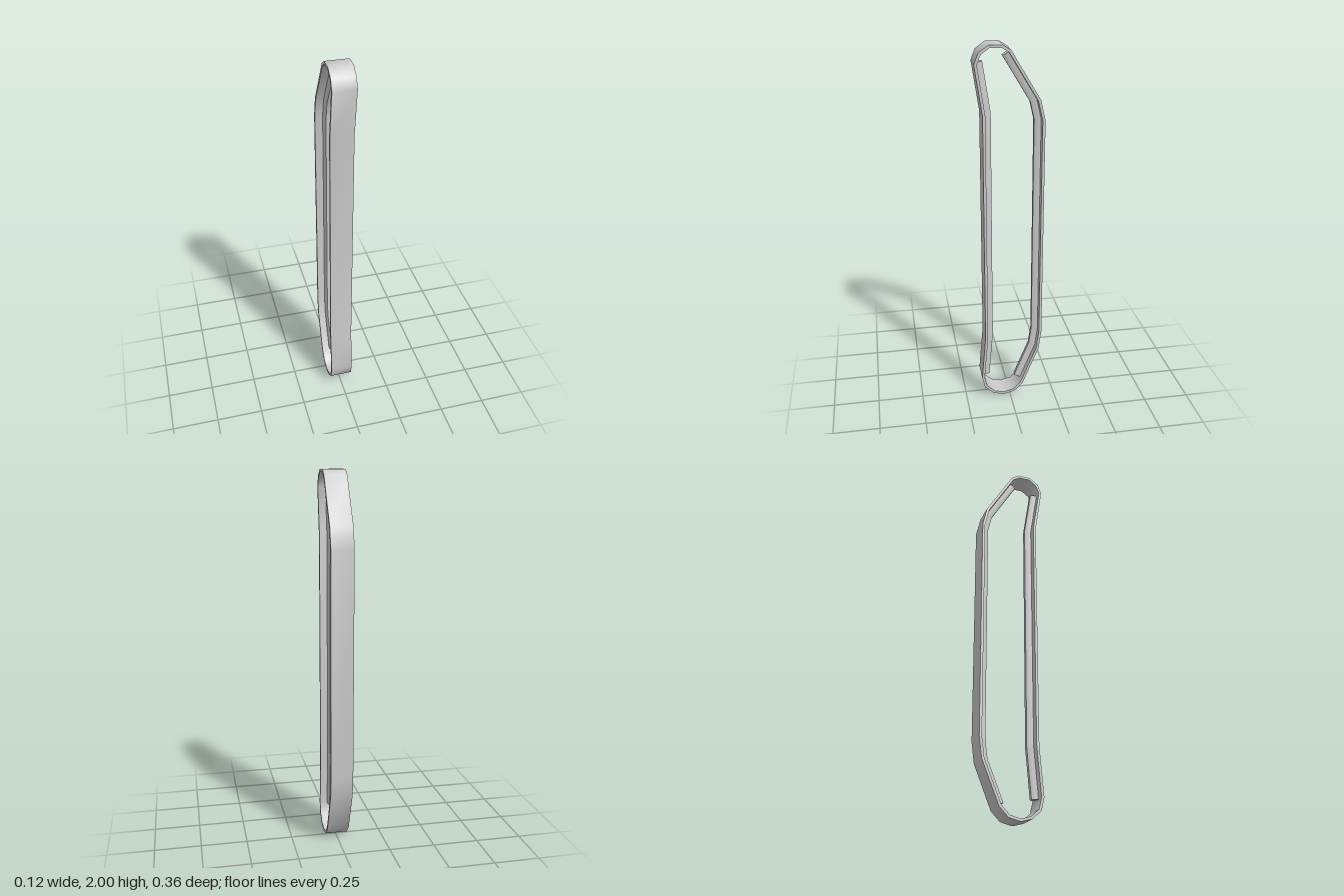
import * as THREE from 'three';
import { toCreasedNormals } from 'three/addons/utils/BufferGeometryUtils.js';

// Outer side profile as [z, y]: down the front, round the bottom, up the back, over the top
const PROFILE = [
  [0.177, 1.91], [0.138, 1.655], [0.138, 0.385], [0.16, 0.125],
  [0.145, 0.06], [0.096, 0.016], [0.037, 0], [-0.026, 0.016], [-0.073, 0.064],
  [-0.164, 0.29], [-0.178, 0.4], [-0.178, 1.62], [-0.154, 1.725],
  [-0.005, 1.973], [0.037, 2], [0.106, 2], [0.155, 1.965],
];

// Sweep a section of [inward depth, x] along a [z, y] path with mitred corners
function sweep(path, section, closed) {
  const n = path.length, m = section.length;
  const positions = [], index = [];
  const inward = (a, b) => {
    const dz = b[0] - a[0], dy = b[1] - a[1], l = Math.hypot(dz, dy);
    return [dy / l, -dz / l];
  };
  for (let i = 0; i < n; i++) {
    const p = path[i];
    const prev = closed || i > 0 ? path[(i + n - 1) % n] : null;
    const next = closed || i < n - 1 ? path[(i + 1) % n] : null;
    const a = inward(prev || p, prev ? p : next);
    const b = inward(next ? p : prev, next || p);
    const k = 1 + a[0] * b[0] + a[1] * b[1];
    const mz = (a[0] + b[0]) / k, my = (a[1] + b[1]) / k;
    for (const [d, x] of section) positions.push(x, p[1] + my * d, p[0] + mz * d);
  }
  for (let i = 0; i < (closed ? n : n - 1); i++) {
    for (let j = 0; j < m; j++) {
      const a = i * m + j, b = i * m + (j + 1) % m;
      const c = ((i + 1) % n) * m + (j + 1) % m, d = ((i + 1) % n) * m + j;
      index.push(a, b, c, a, c, d);
    }
  }
  if (!closed) {
    const e = (n - 1) * m;
    for (let j = 1; j < m - 1; j++) index.push(0, j + 1, j, e, e + j, e + j + 1);
  }
  const geometry = new THREE.BufferGeometry();
  geometry.setAttribute('position', new THREE.Float32BufferAttribute(positions, 3));
  geometry.setIndex(index);
  return toCreasedNormals(geometry, 0.95);
}

export function createModel() {
  const group = new THREE.Group();
  const material = new THREE.MeshStandardMaterial({ color: 0xcccccc });
  const add = (name, geometry) => {
    const mesh = new THREE.Mesh(geometry, material);
    mesh.name = name;
    group.add(mesh);
  };

  // Thin closed belt
  const w = 0.06, t = 0.014;
  add('belt', sweep(PROFILE, [[0, w], [0, -w], [t, -w], [t, w]], true));

  // Raised guide ribs along the inside of the front and back runs
  const rib = [[0.012, 0.02], [0.012, -0.02], [0.034, -0.018], [0.048, -0.011], [0.048, 0.011], [0.034, 0.018]];
  add('frontRib', sweep(PROFILE.slice(0, 4), rib, false));
  add('backRib', sweep([[-0.078, 0.076], ...PROFILE.slice(9, 13), [-0.01, 1.965]], rib, false));

  return group;
}
